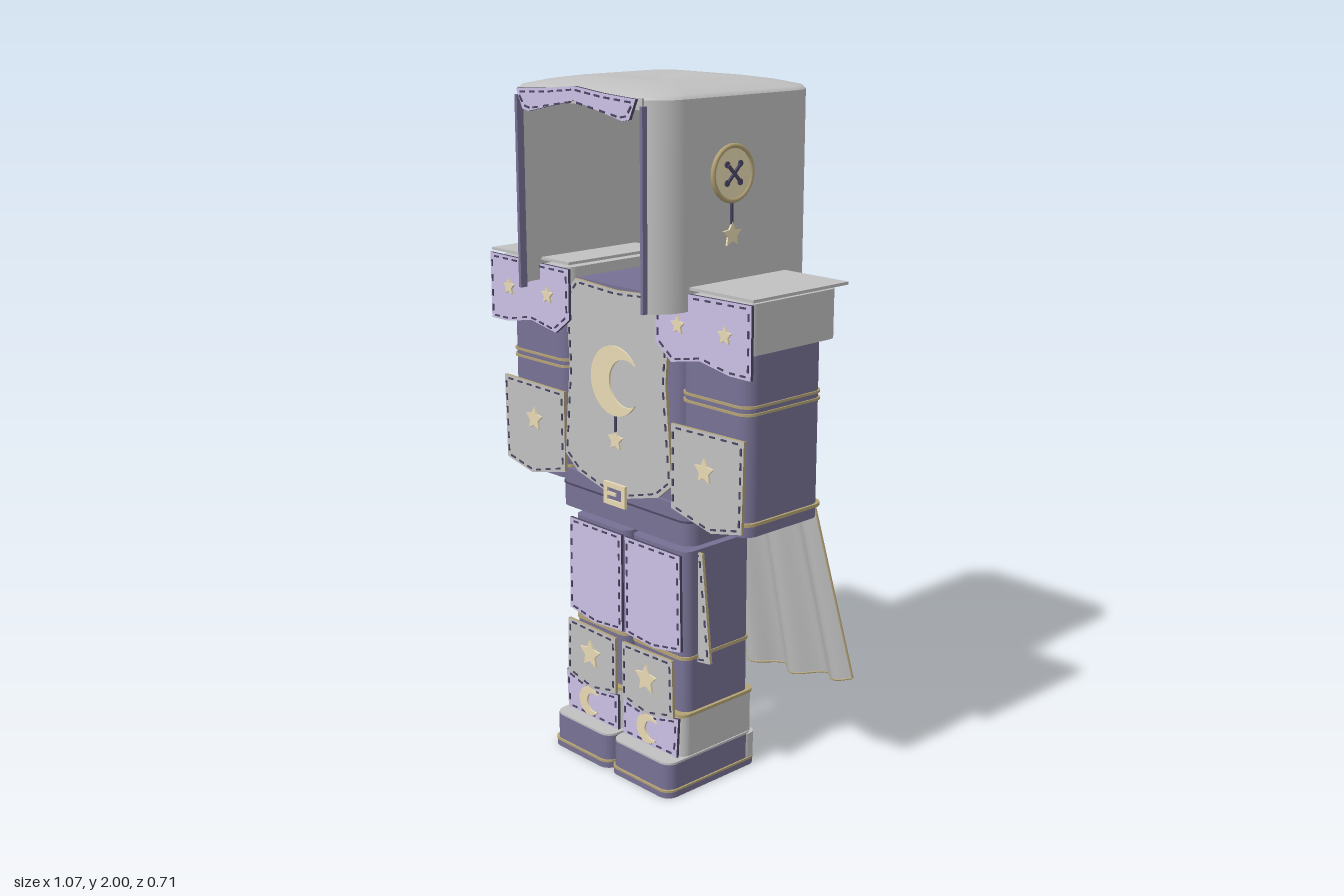
import * as THREE from 'three';
import { mergeGeometries } from 'three/addons/utils/BufferGeometryUtils.js';

const mat = (name, color, side = THREE.FrontSide) => {
  const m = new THREE.MeshStandardMaterial({ color, side });
  m.name = name;
  return m;
};

export function createModel() {
  const root = new THREE.Group();
  root.name = 'hoodedOutfit';
  const grey = mat('greyCloth', 0xc0c0c0, THREE.DoubleSide);
  const lilac = mat('lilacCloth', 0xcabfe4);
  const plum = mat('plumCloth', 0x767194);
  const gold = mat('paleGold', 0xe8dab4);
  const bronze = mat('bronzeTrim', 0xb3a274);
  const dark = mat('darkThread', 0x4d4764);

  const add = (name, geo, material, parent = root) => {
    const m = new THREE.Mesh(geo, material);
    m.name = name;
    parent.add(m);
    return m;
  };

  // Rounded rectangle outline in plan, y of the shape = -z
  const outline = (x0, x1, z0, z1, r, P = THREE.Shape) => new P()
    .absarc(x1 - r, -z0 - r, r, 0, Math.PI / 2)
    .absarc(x0 + r, -z0 - r, r, Math.PI / 2, Math.PI)
    .absarc(x0 + r, -z1 + r, r, Math.PI, Math.PI * 1.5)
    .absarc(x1 - r, -z1 + r, r, Math.PI * 1.5, Math.PI * 2);
  // Upright rounded prism; wall > 0 makes it an open frame
  const prism = (name, [x0, x1], [y0, y1], [z0, z1], r, material, wall = 0) => {
    const s = outline(x0, x1, z0, z1, r);
    if (wall) s.holes.push(outline(x0 + wall, x1 - wall, z0 + wall, z1 - wall, r * 0.6, THREE.Path));
    const g = new THREE.ExtrudeGeometry(s, { depth: y1 - y0, bevelEnabled: false, curveSegments: 5 });
    g.rotateX(-Math.PI / 2).translate(0, y0, 0);
    return add(name, g, material);
  };

  // Thin flat plate facing +z
  const plate = (name, shape, x, y, z, material, parent = root, depth = 0.006) => {
    const g = new THREE.ExtrudeGeometry(shape, { depth, bevelEnabled: false, curveSegments: 16 });
    const m = add(name, g, material, parent);
    m.position.set(x, y, z);
    return m;
  };
  const polygon = pts => new THREE.Shape(pts.map(p => new THREE.Vector2(p[0], p[1])));
  const starShape = r => polygon(Array.from({ length: 10 }, (_, i) => {
    const a = Math.PI / 2 + i * Math.PI / 5, q = i % 2 ? r * 0.5 : r;
    return [q * Math.cos(a), q * Math.sin(a)];
  }));
  const moonShape = r => new THREE.Shape()
    .absarc(0, 0, r, 0.6, Math.PI * 2 - 0.6, false)
    .absarc(0.45 * r, 0, 0.678 * r, -0.985, 0.985, true);

  // Cloth panel with edge trim and a running stitch along its border
  const panel = (name, pts, z, face, edge) => {
    plate(name, polygon(pts), 0, 0, z, [face, edge], root, 0.009);
    const n = pts.length;
    const cx = pts.reduce((s, p) => s + p[0], 0) / n, cy = pts.reduce((s, p) => s + p[1], 0) / n;
    const inset = (v, c) => v - Math.sign(v - c) * Math.min(0.009, Math.abs(v - c));
    const q = pts.map(p => [inset(p[0], cx), inset(p[1], cy)]);
    const dashes = [];
    q.forEach((a, i) => {
      const b = q[(i + 1) % n], dx = b[0] - a[0], dy = b[1] - a[1], len = Math.hypot(dx, dy);
      const count = Math.max(1, Math.round(len / 0.042));
      for (let k = 0; k < count; k++) {
        const t = (k + 0.5) / count;
        dashes.push(new THREE.BoxGeometry(0.02, 0.005, 0.004).rotateZ(Math.atan2(dy, dx))
          .translate(a[0] + dx * t, a[1] + dy * t, z + 0.01));
      }
    });
    add(name + 'Stitches', mergeGeometries(dashes), dark);
  };

  // Surface swept over a grid of points f(column, row)
  const grid = (f, nu, nv, flip) => {
    const pos = [], idx = [];
    for (let i = 0; i <= nv; i++) for (let j = 0; j <= nu; j++) pos.push(...f(j, i));
    for (let i = 0; i < nv; i++) for (let j = 0; j < nu; j++) {
      const a = i * (nu + 1) + j, b = a + 1, c = a + nu + 1, d = c + 1;
      idx.push(...(flip ? [a, b, c, b, d, c] : [a, c, b, b, c, d]));
    }
    const g = new THREE.BufferGeometry();
    g.setAttribute('position', new THREE.Float32BufferAttribute(pos, 3));
    g.setIndex(idx);
    g.computeVertexNormals();
    return g;
  };

  // Hood: open-fronted wall, domed top and lintel
  const hoodLoop = start => {
    const h = Math.PI / 2, c = 0.205, r = 0.1;
    return new THREE.Path().absarc(c, c, r, start, 0, true).absarc(c, -c, r, 0, -h, true)
      .absarc(-c, -c, r, -h, -2 * h, true).absarc(-c, c, r, 2 * h, 2 * h - start, true).getPoints(8);
  };
  const hz = 0.034;
  const wall = hoodLoop(1.1), rim = hoodLoop(Math.PI / 2);
  rim.push(rim[0].clone());
  add('hoodWall', grid((j, i) => [wall[j].x, i ? 1.42 : 1.965, wall[j].y + hz], wall.length - 1, 1, true), grey);
  const dome = [[1, 1.965], [0.975, 1.975], [0.8, 1.988], [0.58, 1.998], [0.38, 2], [0.001, 1.99]];
  add('hoodTop', grid((j, i) => [rim[j].x * dome[i][0], dome[i][1], rim[j].y * dome[i][0] + hz],
    rim.length - 1, dome.length - 1, false), grey);
  add('hoodLintel', new THREE.BoxGeometry(0.5, 0.03, 0.006).translate(0, 1.955, 0.331), grey);
  const brow = [[-0.24, 1.968], [-0.12, 1.975], [0, 1.987], [0.12, 1.975], [0.24, 1.968],
    [0.215, 1.915], [0.19, 1.91], [0, 1.95], [-0.19, 1.91], [-0.215, 1.915]];
  panel('hoodBrow', brow, 0.338, lilac, dark);
  for (const s of [-1, 1])
    add('hoodFrontHem', new THREE.BoxGeometry(0.01, 0.53, 0.022).translate(s * 0.252, 1.685, 0.329), plum);

  // Button charm on the left side of the hood
  const charm = new THREE.Group();
  charm.name = 'buttonCharm';
  charm.position.set(0.315, 1.77, 0.09);
  charm.rotation.y = Math.PI / 2;
  root.add(charm);
  add('buttonDisc', new THREE.CylinderGeometry(0.07, 0.07, 0.01, 32).rotateX(Math.PI / 2).translate(0, 0, 0.012), gold, charm);
  add('buttonRim', new THREE.TorusGeometry(0.071, 0.007, 8, 36).translate(0, 0, 0.014), bronze, charm);
  for (const a of [-1, 1])
    add('buttonThread', new THREE.BoxGeometry(0.062, 0.008, 0.006).rotateZ(a * Math.PI / 4).translate(0, 0, 0.02), dark, charm);
  for (let k = 0; k < 4; k++)
    add('buttonHole', new THREE.CylinderGeometry(0.009, 0.009, 0.004, 10).rotateX(Math.PI / 2)
      .translate(k % 2 ? 0.024 : -0.024, k < 2 ? 0.024 : -0.024, 0.018), dark, charm);
  add('charmCord', new THREE.BoxGeometry(0.007, 0.06, 0.006).translate(0, -0.105, 0.012), dark, charm);
  plate('charmStar', starShape(0.034), 0, -0.16, 0.01, gold, charm);

  // Torso, belt and chest panel
  prism('torso', [-0.235, 0.235], [0.76, 1.435], [-0.11, 0.18], 0.04, plum);
  prism('belt', [-0.275, 0.275], [0.75, 0.865], [-0.112, 0.192], 0.04, plum);
  prism('beltTrim', [-0.277, 0.277], [0.817, 0.822], [-0.114, 0.194], 0.04, dark);
  panel('chestPanel', [[-0.17, 1.44], [0, 1.43], [0.17, 1.44], [0.215, 1.39], [0.2, 1.2], [0.225, 0.92],
    [0.17, 0.875], [0, 0.83], [-0.17, 0.875], [-0.225, 0.92], [-0.2, 1.2], [-0.215, 1.39]], 0.2, grey, bronze);
  plate('chestMoon', moonShape(0.1), 0, 1.175, 0.21, gold);
  add('chestCord', new THREE.BoxGeometry(0.007, 0.055, 0.006).translate(0, 1.055, 0.213), dark);
  plate('chestStar', starShape(0.032), 0, 1.005, 0.21, gold);
  const buckle = polygon([[-0.045, -0.033], [0.045, -0.033], [0.045, 0.033], [-0.045, 0.033]]);
  buckle.holes.push(new THREE.Path([[-0.03, -0.018], [-0.03, 0.018], [0.03, 0.018], [0.03, -0.018]].map(p => new THREE.Vector2(...p))));
  plate('buckle', buckle, 0, 0.845, 0.212, gold, root, 0.009);
  add('buckleBack', new THREE.BoxGeometry(0.07, 0.045, 0.004).translate(0, 0.845, 0.213), plum);
  add('buckleTongue', new THREE.BoxGeometry(0.04, 0.01, 0.005).translate(-0.015, 0.845, 0.218), gold);

  for (const s of [-1, 1]) {
    const X = (a, b) => s > 0 ? [a, b] : [-b, -a];
    const M = pts => pts.map(p => [p[0] * s, p[1]]);
    // Arm with shoulder cap and bracer
    prism('arm', X(0.235, 0.49), [0.83, 1.35], [-0.105, 0.19], 0.04, plum);
    for (const y of [1.163, 1.183]) prism('sleeveTrim', X(0.231, 0.494), [y, y + 0.007], [-0.109, 0.194], 0.04, bronze);
    prism('cuffTrim', X(0.229, 0.497), [0.862, 0.871], [-0.114, 0.197], 0.04, bronze);
    prism('shoulderCap', X(0.2, 0.51), [1.33, 1.465], [-0.135, 0.215], 0.035, grey);
    add('shoulderTop', new THREE.BoxGeometry(0.35, 0.008, 0.36).translate(s * 0.36, 1.48, 0.04), grey);
    panel('shoulderFlap', M([[0.18, 1.465], [0.535, 1.47], [0.535, 1.275], [0.46, 1.275], [0.35, 1.295], [0.24, 1.275], [0.18, 1.32]]), 0.217, lilac, dark);
    for (const x of [0.27, 0.445]) plate('shoulderStar', starShape(0.026), s * x, 1.38, 0.227, gold);
    panel('bracer', M([[0.225, 1.1], [0.5, 1.105], [0.495, 0.85], [0.38, 0.825], [0.225, 0.86]]), 0.203, grey, bronze);
    plate('bracerStar', starShape(0.037), s * 0.358, 0.995, 0.213, gold);

    // Leg with thigh, knee and shin panels
    prism('leg', X(0.008, 0.24), [0.1, 0.72], [-0.09, 0.17], 0.03, plum);
    prism('legTrim', X(0.006, 0.243), [0.396, 0.406], [-0.094, 0.174], 0.03, bronze);
    panel('thighPanel', M([[0.008, 0.715], [0.235, 0.715], [0.24, 0.43], [0.13, 0.41], [0.008, 0.42]]), 0.18, lilac, dark);
    panel('kneePanel', M([[0.015, 0.4], [0.225, 0.405], [0.23, 0.23], [0.12, 0.205], [0.015, 0.225]]), 0.2, grey, bronze);
    plate('kneeStar', starShape(0.045), s * 0.122, 0.32, 0.21, gold);
    panel('shinPanel', M([[0.012, 0.22], [0.12, 0.205], [0.245, 0.232], [0.238, 0.11], [0.012, 0.11]]), 0.194, lilac, dark);
    plate('shinMoon', moonShape(0.045), s * 0.128 - 0.006, 0.163, 0.204, gold);
    panel('hipFlap', M([[0.21, 0.715], [0.255, 0.71], [0.29, 0.39], [0.22, 0.38]]), 0.113, grey, bronze);

    // Boot: cuff, toe, heel and open sole
    prism('bootCuff', X(0.005, 0.247), [0.1, 0.228], [-0.103, 0.188], 0.03, grey);
    prism('cuffRim', X(0.003, 0.25), [0.228, 0.237], [-0.106, 0.191], 0.03, bronze);
    prism('bootWall', X(0.004, 0.252), [0.02, 0.1], [-0.104, 0.248], 0.035, plum, 0.025);
    prism('bootHeel', X(0.003, 0.254), [0.024, 0.1], [-0.108, -0.05], 0.025, grey);
    prism('bootToeTop', X(0.005, 0.251), [0.1, 0.106], [-0.1, 0.246], 0.035, grey);
    prism('bootSole', X(0.002, 0.256), [0, 0.018], [-0.11, 0.253], 0.035, plum, 0.03);
    prism('soleTrim', X(0.002, 0.257), [0.018, 0.024], [-0.111, 0.254], 0.035, bronze, 0.03);
  }

  // Cape: flaring pleated sheet, lilac outside and grey inside
  const cape = (u, t, off = 0) => [
    u * (0.265 + 0.17 * t),
    1.35 - 1.15 * t + 0.06 * u * u * t,
    -0.14 - 0.185 * t - (0.005 + 0.023 * t) * Math.cos(2 * Math.PI * (0.435 * u + 0.04) / 0.173) - off,
  ];
  const sheet = (off, flip) => grid((j, i) => cape(j / 40 - 1, i / 16, off), 80, 16, flip);
  add('capeOutside', sheet(0.004, true), lilac);
  add('capeLining', sheet(-0.002, false), grey);
  const hem = (name, f) => {
    const pts = Array.from({ length: 61 }, (_, i) => new THREE.Vector3(...f(i / 60)));
    add(name, new THREE.TubeGeometry(new THREE.CatmullRomCurve3(pts), 120, 0.0035, 6), bronze);
  };
  hem('capeBottomHem', k => cape(k * 2 - 1, 1));
  for (const s of [-1, 1]) hem('capeSideHem', k => cape(s, k));
  prism('capeCollar', [-0.265, 0.265], [1.335, 1.36], [-0.15, -0.105], 0.01, plum);
  const back = (name, shape, u, t, off) => {
    const p = cape(u, t, off);
    const m = plate(name, shape, ...p, gold);
    m.rotation.set(-0.16, Math.PI, 0, 'YXZ');
  };
  back('capeMoon', moonShape(0.09), 0, 0.37, 0.004);
  for (let k = -2; k <= 2; k++) back('capeStar', starShape(0.024), (k * 0.173 - 0.04) / 0.435, 0.945, 0.006);

  return root;
}
